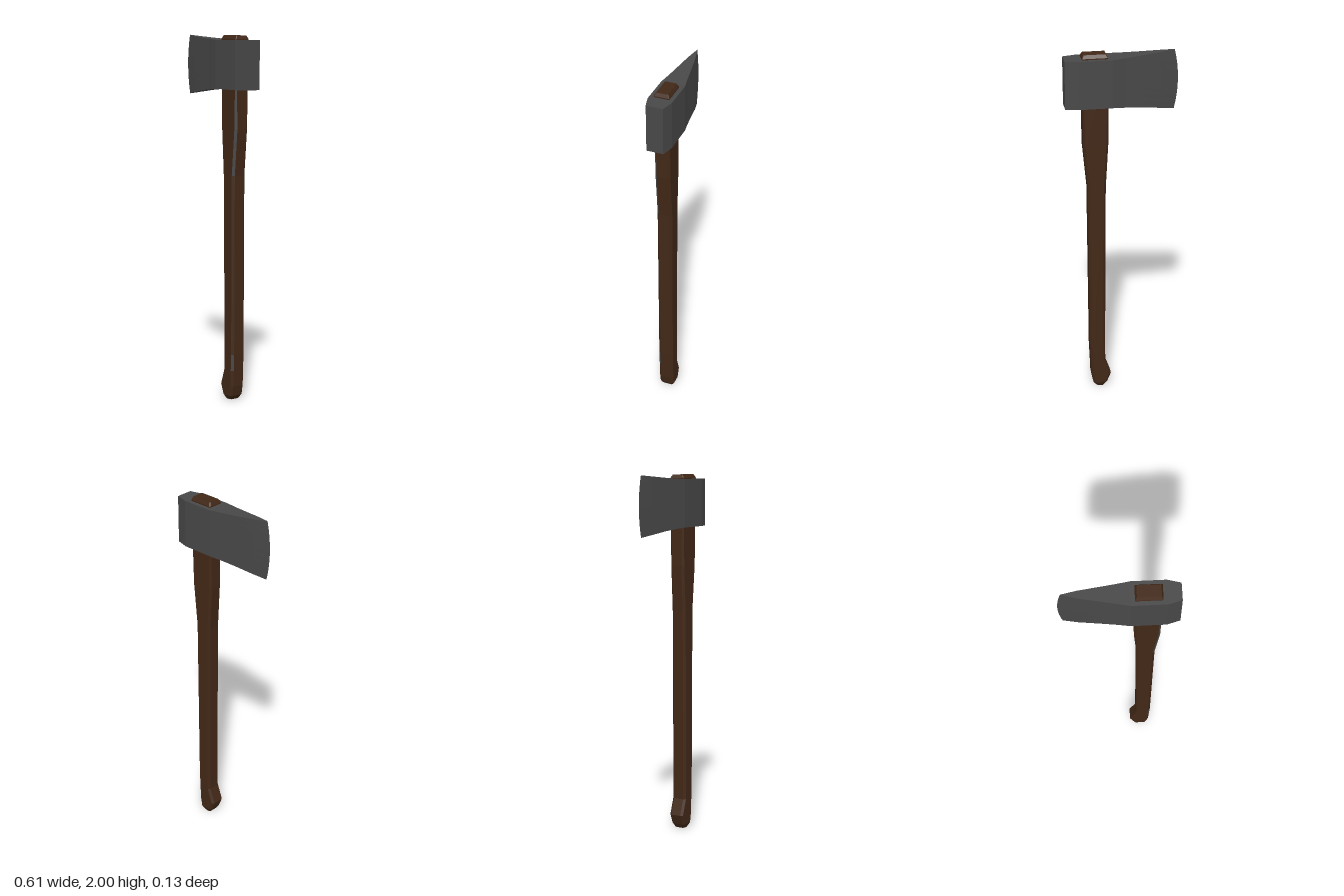
import * as THREE from 'three';

const WOOD = 0x422817, STEEL = 0x484848;

// Skin over closed rings of points; keep(i, j) picks which side faces to build
function loft(rings, keep = () => true, caps = true) {
  const n = rings[0].length, pos = [];
  const tri = (a, b, c) => pos.push(...a, ...b, ...c);
  for (let i = 0; i < rings.length - 1; i++) {
    for (let j = 0; j < n; j++) {
      if (!keep(i, j)) continue;
      const k = (j + 1) % n, r = rings[i], s = rings[i + 1];
      tri(r[j], r[k], s[k]);
      tri(r[j], s[k], s[j]);
    }
  }
  if (caps) {
    const a = rings[0], b = rings[rings.length - 1];
    for (let j = 1; j < n - 1; j++) {
      tri(a[0], a[j + 1], a[j]);
      tri(b[0], b[j], b[j + 1]);
    }
  }
  const g = new THREE.BufferGeometry();
  g.setAttribute('position', new THREE.Float32BufferAttribute(pos, 3));
  g.computeVertexNormals();
  return g;
}

function part(name, geometry, color) {
  const mesh = new THREE.Mesh(geometry, new THREE.MeshStandardMaterial({ color, flatShading: true }));
  mesh.name = name;
  return mesh;
}

// Chamfered rectangle across the handle at height y
function handleRing([y, x0, x1, d, b = 0.012]) {
  return [[x0 + b, d], [x1 - b, d], [x1, d - b], [x1, b - d],
    [x1 - b, -d], [x0 + b, -d], [x0, b - d], [x0, d - b]].map(([x, z]) => [x, y, z]);
}

// Slice of the head at x: rows up the front side, then back down the rear;
// bulge bows the slice towards the cutting edge
function headRing([x, z, y0, y1, bulge = 0]) {
  const rows = 8, front = [], back = [];
  for (let i = 0; i <= rows; i++) {
    const t = i / rows, y = y1 + (y0 - y1) * t;
    const px = x - bulge * (1 - (2 * t - 1) ** 2);
    front.push([px, y, z]);
    back.unshift([px, y, -z]);
  }
  return [...front, ...back];
}

export function createModel() {
  const axe = new THREE.Group();
  axe.name = 'axe';

  // Handle levels: y, left x, right x, half depth, chamfer
  const levels = [
    [0, 0.105, 0.148, 0.03, 0.008],
    [0.025, 0.088, 0.168, 0.042],
    [0.08, 0.066, 0.178, 0.042],
    [0.17, 0.098, 0.181, 0.042],
    [0.26, 0.099, 0.185, 0.042],
    [1.25, 0.09, 0.188, 0.042],
    [1.5, 0.075, 0.211, 0.042],
    [1.982, 0.075, 0.213, 0.042, 0.003],
    [2, 0.084, 0.205, 0.032, 0.003],
  ].map(handleRing);

  // Steel-coloured strips on one chamfer of the handle
  const isStrip = (i, j) => j === 1 && (i === 3 || i === 5 || i === 6);
  axe.add(part('handle', loft(levels, (i, j) => !isStrip(i, j)), WOOD));
  axe.add(part('handleStrips', loft(levels, isStrip, false), STEEL));

  // Head slices: x, half thickness, bottom y, top y, edge bulge
  const slices = [
    [-0.285, 0.0005, 1.673, 2, 0.02],
    [-0.205, 0.02, 1.685, 1.993, 0.006],
    [-0.1, 0.038, 1.7, 1.985],
    [-0.02, 0.051, 1.708, 1.98],
    [0.055, 0.065, 1.714, 1.976],
    [0.235, 0.065, 1.714, 1.976],
    [0.305, 0.046, 1.714, 1.976],
  ].map(headRing);
  axe.add(part('axeHead', loft(slices), STEEL));

  return axe;
}
